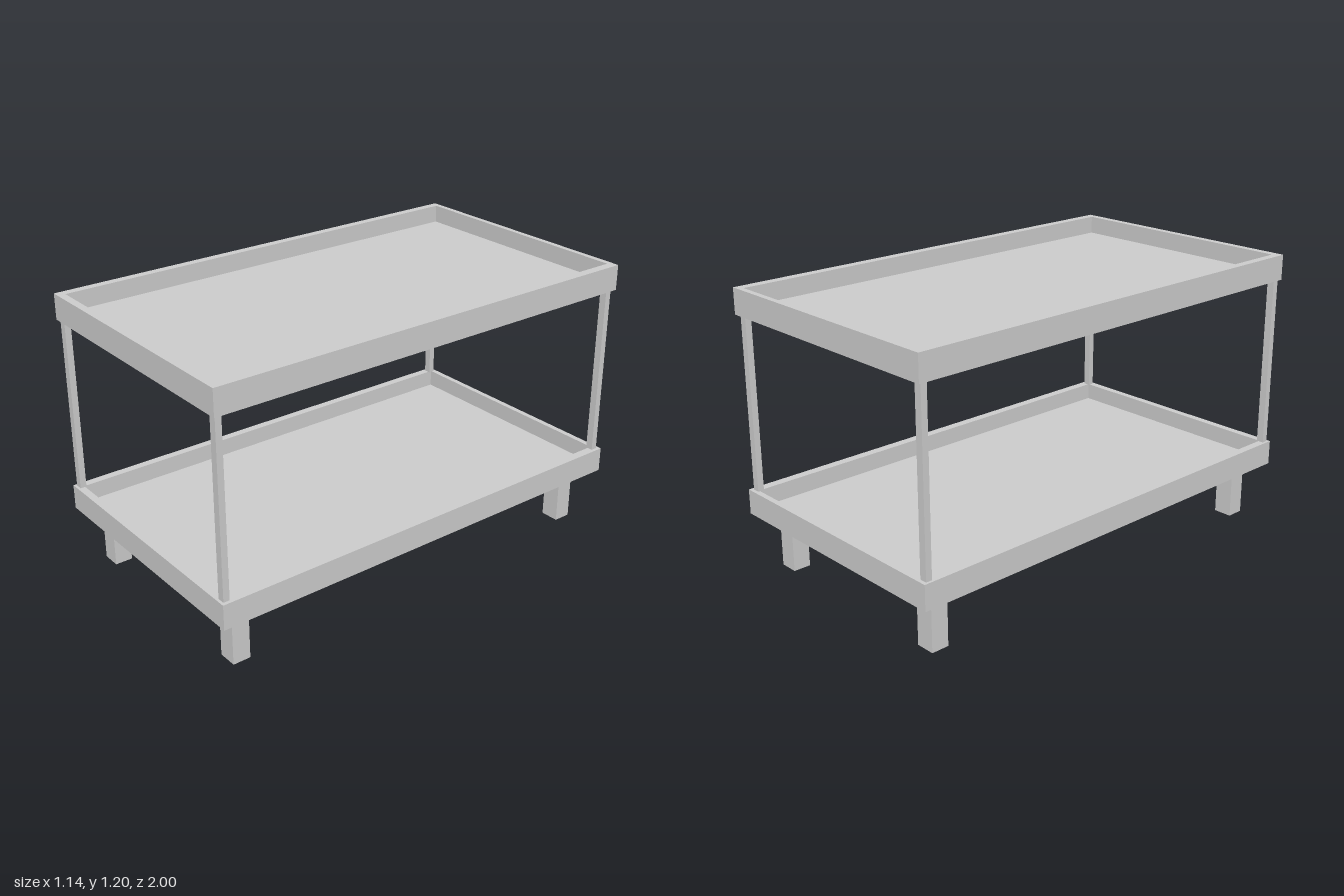
import * as THREE from 'three';

const material = new THREE.MeshStandardMaterial({ color: 0xcccccc, flatShading: true });

function box(name, w, h, d, x, y, z) {
  const mesh = new THREE.Mesh(new THREE.BoxGeometry(w, h, d), material);
  mesh.name = name;
  mesh.position.set(x, y + h / 2, z); // y is the underside
  return mesh;
}

function rectangle(Type, x0, x1, z0, z1) {
  return new Type([[x0, z0], [x1, z0], [x1, z1], [x0, z1]].map(p => new THREE.Vector2(...p)));
}

// Shallow tray: raised rectangular rim around a floor panel
function tray(name, y, height) {
  const group = new THREE.Group();
  group.name = name;
  const outline = rectangle(THREE.Shape, -0.57, 0.57, -1, 1);
  outline.holes.push(rectangle(THREE.Path, -0.535, 0.531, -0.968, 0.976));
  const geometry = new THREE.ExtrudeGeometry(outline, { depth: height, bevelEnabled: false });
  geometry.rotateX(-Math.PI / 2);
  const rim = new THREE.Mesh(geometry, material);
  rim.name = 'trayRim';
  rim.position.y = y;
  group.add(rim, box('trayFloor', 1.066, 0.033, 1.944, -0.002, y, -0.004));
  return group;
}

export function createModel() {
  const model = new THREE.Group();
  model.name = 'trayTable';
  model.add(tray('lowerTray', 0.236, 0.108), tray('upperTray', 1.09, 0.11));

  // Slim corner posts between the trays, stout feet below
  for (const sx of [-1, 1]) {
    for (const sz of [-1, 1]) {
      model.add(
        box('cornerPost', 0.032, 0.746, 0.027, sx * 0.541 - 0.002, 0.344, sz * 0.973 + 0.002),
        box('foot', 0.083, 0.232, 0.077, sx * 0.449 - 0.002, 0, sz * 0.875 + 0.002)
      );
    }
  }
  return model;
}
